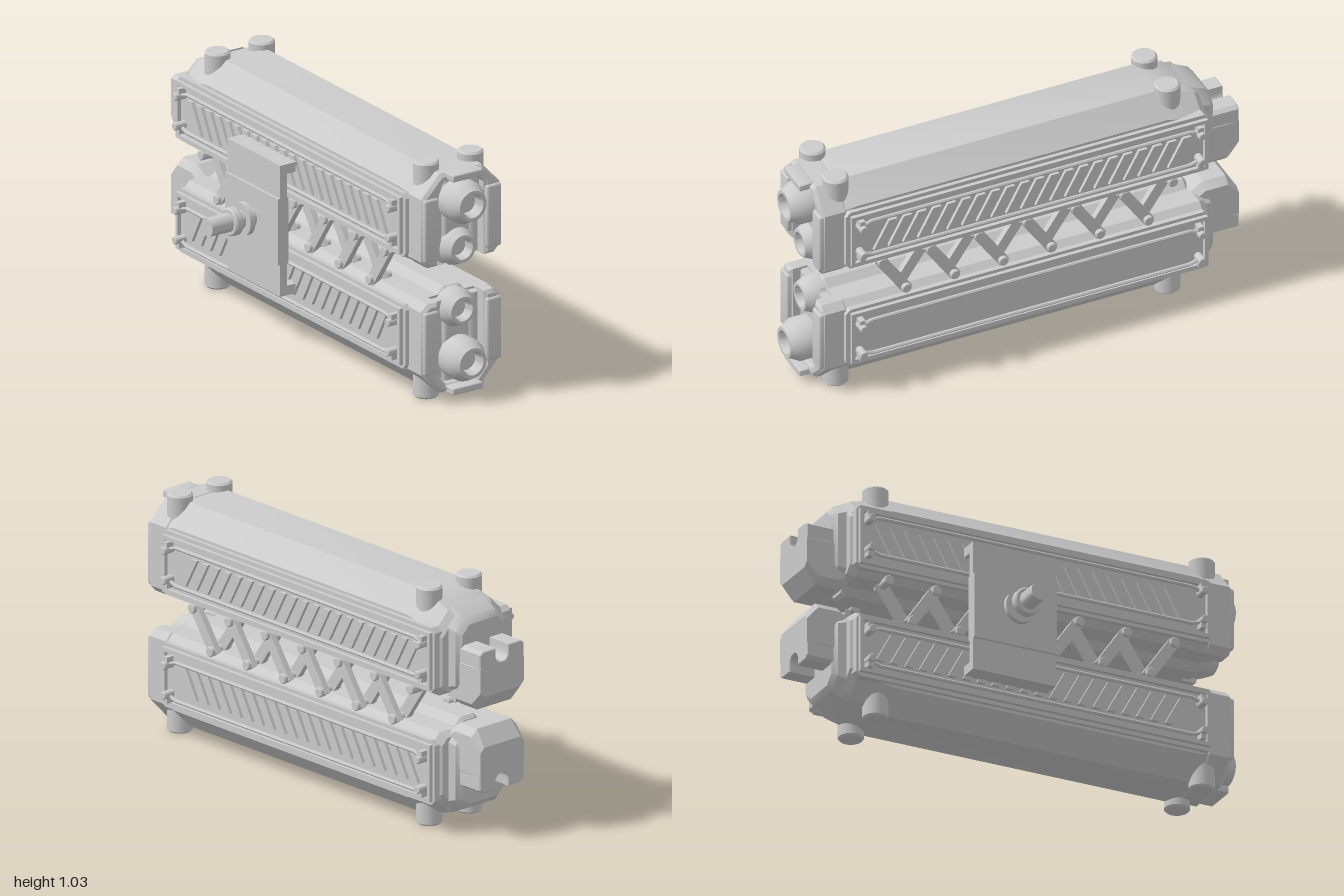
import * as THREE from 'three';
import { toCreasedNormals } from 'three/addons/utils/BufferGeometryUtils.js';
import { RoundedBoxGeometry } from 'three/addons/geometries/RoundedBoxGeometry.js';

const material = new THREE.MeshStandardMaterial({ color: 0xcccccc, side: THREE.DoubleSide });
const CX = 0.135, CY = 0.52; // axis shared by the two mirrored housings

function add(parent, name, geometry, x = 0, y = 0, z = 0) {
  const mesh = new THREE.Mesh(toCreasedNormals(geometry, 0.55), material);
  mesh.name = name;
  mesh.position.set(x, y, z);
  parent.add(mesh);
  return mesh;
}

// box given by its limits
function box(parent, name, x0, x1, y0, y1, z0, z1, r = 0) {
  const s = [x1 - x0, y1 - y0, z1 - z0];
  const g = r ? new RoundedBoxGeometry(...s, 2, r) : new THREE.BoxGeometry(...s);
  return add(parent, name, g, (x0 + x1) / 2, (y0 + y1) / 2, (z0 + z1) / 2);
}

// revolved profile of [radius, distance] along an axis
function turned(parent, name, profile, axis, x, y, z, sides = 24) {
  const g = new THREE.LatheGeometry(profile.map(p => new THREE.Vector2(...p)), sides);
  if (axis === 'z') g.rotateX(Math.PI / 2);
  if (axis === 'x') g.rotateZ(-Math.PI / 2);
  return add(parent, name, g, x, y, z);
}

const rod = (r, a, b, c = 0) => [[0, a], [r - c, a], [r, a + c], [r, b - c], [r - c, b], [0, b]];

// outline in [z, y] extruded along x
function slab(parent, name, points, x0, x1, hole) {
  const v = list => list.map(([z, y]) => new THREE.Vector2(-z, y));
  const shape = new THREE.Shape(v(points));
  if (hole) shape.holes.push(new THREE.Path(v(hole)));
  const g = new THREE.ExtrudeGeometry(shape, { depth: x1 - x0, bevelEnabled: false });
  return add(parent, name, g.rotateY(Math.PI / 2), x0);
}

// outline in [x, y] extruded along z
function outlineZ(parent, name, points, z0, z1, bevel) {
  const shape = new THREE.Shape(points.map(p => new THREE.Vector2(...p)));
  const g = new THREE.ExtrudeGeometry(shape, {
    depth: z1 - z0 - 2 * bevel, bevelSize: bevel, bevelThickness: bevel, bevelOffset: -bevel, bevelSegments: 1,
  });
  return add(parent, name, g, 0, 0, z0 + bevel);
}

// chamfered cross-sections joined back to front: [z, half width, bottom, top, top chamfer, bottom chamfer]
function loft(parent, name, sections) {
  const pos = [], idx = [], n = 8;
  for (const [z, w, b, t, c, d] of sections) {
    for (const [x, y] of [[w - d, b], [w, b + d], [w, t - c], [w - c, t], [c - w, t], [-w, t - c], [-w, b + d], [d - w, b]])
      pos.push(x, y, z);
  }
  const last = (sections.length - 1) * n;
  for (let s = 0; s < last; s += n) {
    for (let i = 0; i < n; i++) {
      const a = s + i, b = s + (i + 1) % n;
      idx.push(a, b, b + n, a, b + n, a + n);
    }
  }
  for (let i = 1; i < n - 1; i++) idx.push(0, i + 1, i, last, last + i, last + i + 1);
  const g = new THREE.BufferGeometry();
  g.setAttribute('position', new THREE.Float32BufferAttribute(pos, 3));
  g.setIndex(idx);
  g.computeVertexNormals();
  return add(parent, name, g);
}

const rect = (z0, z1, y0, y1, c = 0) => c
  ? [[z0 + c, y0], [z1 - c, y0], [z1, y0 + c], [z1, y1 - c], [z1 - c, y1], [z0 + c, y1], [z0, y1 - c], [z0, y0 + c]]
  : [[z0, y0], [z1, y0], [z1, y1], [z0, y1]];

// louvred panel on one flank
function sidePanel(parent, side) {
  const span = (a, b) => side > 0 ? [a, b] : [-b, -a];
  slab(parent, 'panelBase', rect(-0.82, 0.82, 0.105, 0.385, 0.02), ...span(0.17, 0.212));
  slab(parent, 'panelFrame', rect(-0.81, 0.8, 0.12, 0.368), ...span(0.2, 0.229), rect(-0.795, 0.785, 0.137, 0.351));
  for (let i = 0; i < 21; i++) {
    const z = 0.7 - i * 0.0665;
    slab(parent, 'louvre', [[z, 0.175], [z - 0.036, 0.175], [z - 0.106, 0.305], [z - 0.07, 0.305]], ...span(0.205, 0.226));
  }
  // guard rails above and below the louvres, with bent ends on pegs
  for (const [y, bend] of [[0.315, 0.018], [0.185, -0.018]]) {
    const path = new THREE.CurvePath();
    const pts = [[0.76, y], [0.72, y + bend], [-0.73, y + bend], [-0.77, y]]
      .map(([z, h]) => new THREE.Vector3(side * 0.232, h, z));
    for (let i = 0; i < 3; i++) path.add(new THREE.LineCurve3(pts[i], pts[i + 1]));
    add(parent, 'guardRail', new THREE.TubeGeometry(path, 60, 0.008, 6));
    for (const z of [0.76, -0.77]) {
      turned(parent, 'railPeg', rod(0.017, -0.035, 0.035, 0.003), 'x', side * 0.23, y, z, 16);
      box(parent, 'pegClamp', ...span(0.2, 0.248), y - 0.017 + bend, y + 0.017 + bend, z - 0.012, z + 0.012);
    }
  }
}

function housing() {
  const g = new THREE.Group();
  loft(g, 'mainBody', [
    [-0.83, 0.175, 0.1, 0.41, 0.07, 0.03],
    [-0.8, 0.195, 0.08, 0.44, 0.08, 0.03],
    [-0.64, 0.195, 0.08, 0.487, 0.09, 0.03],
    [0.76, 0.195, 0.08, 0.487, 0.09, 0.03],
    [0.84, 0.185, 0.08, 0.47, 0.09, 0.03],
  ]);
  turned(g, 'lowerTube', rod(0.095, -0.8, 0.85, 0.015), 'z', 0, 0.137, 0, 8).rotation.z = Math.PI / 8;

  // horseshoe front cap, open at its lower edge
  const half = [[0.115, 0.08], [0.165, 0.08], [0.195, 0.11], [0.195, 0.385], [0.105, 0.48]];
  const inner = [[0.075, 0.445], [0.115, 0.4]];
  const flip = list => list.map(([x, y]) => [-x, y]).reverse();
  outlineZ(g, 'frontCap', [...half, ...flip(half), ...flip(inner), ...inner], 0.8, 0.92, 0.014);
  for (const s of [-1, 1]) {
    turned(g, 'channelRib', rod(0.03, 0.09, 0.43), 'y', s * 0.09, 0, 0.85, 12);
    box(g, 'frontPillar', s * 0.155 - 0.036, s * 0.155 + 0.036, 0.11, 0.385, 0.86, 0.93, 0.01);
  }
  box(g, 'channelSpine', -0.066, 0.066, 0.07, 0.46, 0.82, 0.885, 0.02);
  box(g, 'frontTab', -0.075, 0.075, 0.452, 0.482, 0.9, 0.965, 0.006);

  // hollow ports on the front
  const port = (r, z0, z1) => [[r * 0.85, z0], [r, z0 + 0.02], [r, z1 - 0.05], [r * 0.83, z1 - 0.02], [r * 0.72, z1],
    [r * 0.56, z1], [r * 0.5, z1 - 0.012], [r * 0.47, z1 - 0.05], [0, z1 - 0.05]];
  turned(g, 'upperPort', port(0.092, 0.86, 1), 'z', 0, 0.345, 0, 32);
  turned(g, 'lowerPort', port(0.083, 0.82, 0.93), 'z', 0, 0.135, 0, 32);

  // corner posts
  for (const x of [-0.11, 0.11]) {
    for (const z of [0.82, -0.68]) turned(g, 'cornerPost', rod(0.054, 0.36, 0.517, 0.008), 'y', x, 0, z, 28);
  }

  // rear cap and notched connector
  loft(g, 'rearCap', [
    [-0.885, 0.115, 0.13, 0.39, 0.04, 0.02],
    [-0.865, 0.135, 0.11, 0.415, 0.05, 0.02],
    [-0.79, 0.15, 0.09, 0.45, 0.06, 0.02],
  ]);
  loft(g, 'rearBlockBase', [
    [-1, 0.12, 0.11, 0.24, 0.006, 0.02],
    [-0.95, 0.124, 0.042, 0.24, 0.006, 0.03],
    [-0.85, 0.124, 0.042, 0.24, 0.006, 0.03],
    [-0.78, 0.12, 0.09, 0.24, 0.006, 0.03],
  ]);
  const notch = [];
  for (let i = 0; i <= 8; i++) {
    const a = Math.PI * i / 8;
    notch.push([0.035 * Math.cos(a), 0.275 - 0.033 * Math.sin(a)]);
  }
  outlineZ(g, 'rearNotch', [[-0.122, 0.235], [0.122, 0.235], [0.122, 0.295], [0.105, 0.308], [0.035, 0.308],
    ...notch, [-0.035, 0.308], [-0.105, 0.308], [-0.122, 0.295]], -1, -0.84, 0.004);

  sidePanel(g, 1);
  sidePanel(g, -1);
  return g;
}

// zigzag linkage between the housings
function linkage() {
  const g = new THREE.Group();
  g.name = 'linkage';
  const joints = [];
  for (let i = 0; i < 13; i++) joints.push([0.65 - i * 0.1095, i % 2 ? -0.08 : 0.08]);
  for (const s of [-1, 1]) {
    joints.forEach(([z, y], i) => {
      turned(g, 'pivotPin', rod(0.021, -0.055, 0.055, 0.003), 'x', s * 0.153, y, z, 16);
      if (i === 12) return;
      const [z2, y2] = joints[i + 1];
      const bar = box(g, 'linkBar', -0.013, 0.013, -0.024, 0.024, -0.115, 0.115);
      bar.position.set(s * (i % 2 ? 0.134 : 0.178), (y + y2) / 2, (z + z2) / 2);
      bar.rotation.x = -Math.atan2(y2 - y, z2 - z);
    });
  }
  return g;
}

// bracket and shaft on the right flank
function mount() {
  const g = new THREE.Group();
  g.name = 'mount';
  box(g, 'bracketPlate', -0.168, -0.135, 0.23, 0.805, -0.33, 0.05);
  box(g, 'bracketCentre', -0.18, -0.127, 0.37, 0.66, -0.33, 0.05);
  for (const y of [0.23, 0.763]) box(g, 'bracketHook', -0.168, -0.085, y, y + 0.042, -0.33, 0.05);
  turned(g, 'shaft', [[0, -0.4], [0.04, -0.4], [0.04, -0.295], [0.054, -0.295], [0.06, -0.288], [0.06, -0.262],
    [0.054, -0.255], [0.038, -0.255], [0.038, -0.232], [0.07, -0.232], [0.07, -0.208], [0.04, -0.208], [0.04, -0.17]],
  'x', 0, 0.525, -0.14, 28);
  return g;
}

export function createModel() {
  const model = new THREE.Group();
  const upper = housing(), lower = housing(), links = linkage();
  upper.name = 'upperHousing';
  lower.name = 'lowerHousing';
  lower.rotation.z = Math.PI;
  for (const part of [upper, lower, links]) part.position.set(CX, CY, 0);
  model.add(upper, lower, links, mount());
  return model;
}
